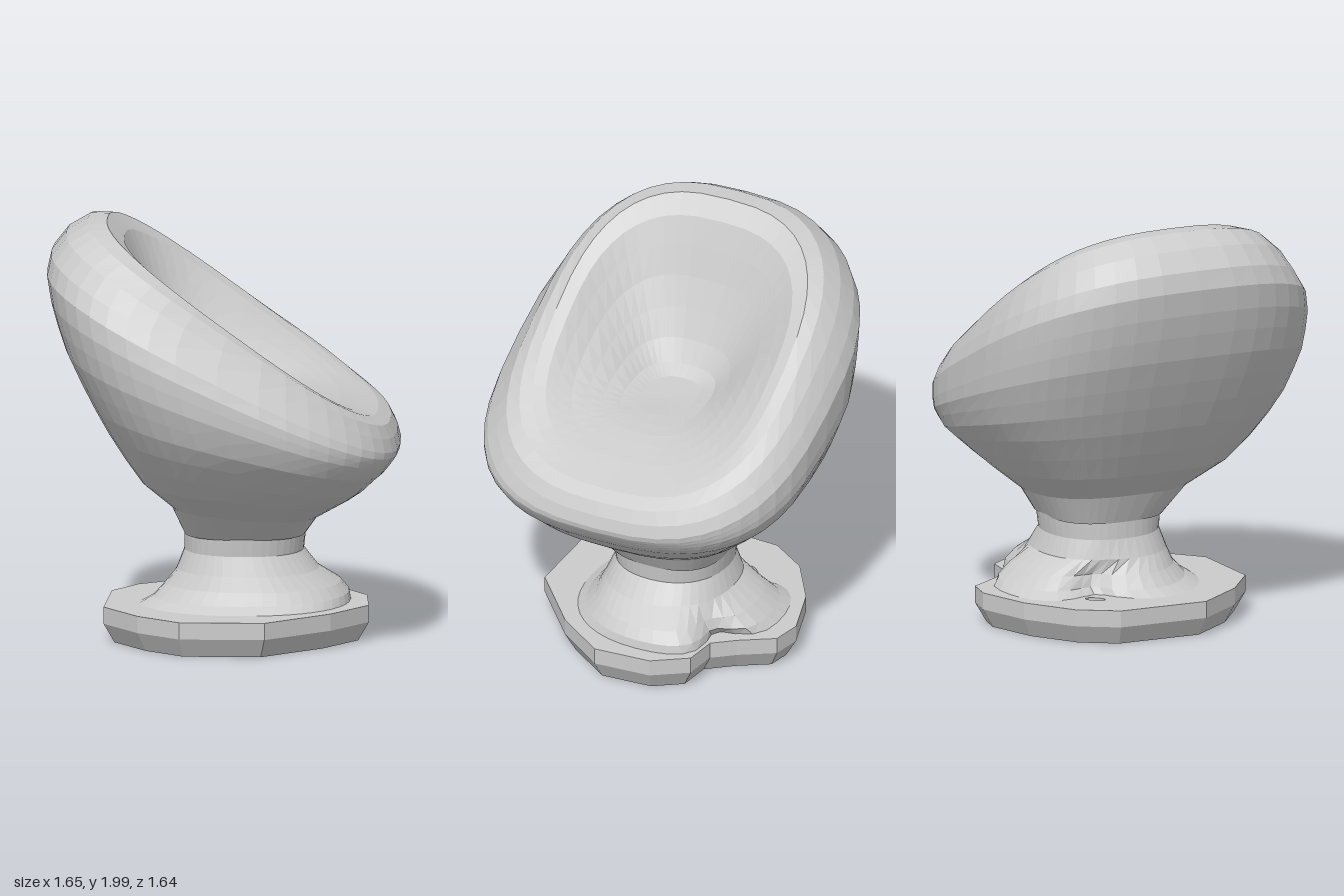
import * as THREE from 'three';

const SEG = 44;
const material = new THREE.MeshStandardMaterial({
  color: 0xcccccc, flatShading: true, side: THREE.DoubleSide,
});

// Lofts tilted, rounded-square rings: [backX, backY, frontX, frontY, halfWidth, centreZ]
function loft(rings, power, endPoint, dent = () => 1) {
  const positions = [], index = [];
  const bend = (v) => Math.sign(v) * Math.abs(v) ** (2 / power);
  rings.forEach(([xb, yb, xf, yf, w, cz = 0], r) => {
    for (let i = 0; i < SEG; i++) {
      const a = (i / SEG) * Math.PI * 2;
      const k = dent(a, r);
      const u = bend(Math.cos(a)) * k, v = bend(Math.sin(a)) * k;
      positions.push(
        (xb + xf) / 2 + u * (xf - xb) / 2,
        (yb + yf) / 2 + u * (yf - yb) / 2,
        cz + v * w,
      );
      if (r === 0) continue;
      const j = (i + 1) % SEG, lo = (r - 1) * SEG, up = r * SEG;
      index.push(lo + i, up + i, lo + j, up + i, up + j, lo + j);
    }
  });
  if (endPoint) {
    const last = (rings.length - 1) * SEG, c = positions.length / 3;
    positions.push(...endPoint);
    for (let i = 0; i < SEG; i++) index.push(last + i, c, last + ((i + 1) % SEG));
  }
  const g = new THREE.BufferGeometry();
  g.setAttribute('position', new THREE.Float32BufferAttribute(positions, 3));
  g.setIndex(index);
  g.computeVertexNormals();
  return g;
}

function addMesh(group, name, geometry) {
  const mesh = new THREE.Mesh(geometry, material);
  mesh.name = name;
  group.add(mesh);
}

export function createModel() {
  const group = new THREE.Group();
  group.name = 'podChair';

  // Pod seat: outer shell up to the rim, then down into the hollow
  addMesh(group, 'podSeat', loft([
    [-0.2, 0.5, 0.37, 0.5, 0.28, -0.07],
    [-0.26, 0.64, 0.43, 0.59, 0.37, -0.04],
    [-0.4, 0.77, 0.59, 0.69, 0.53, -0.01],
    [-0.48, 0.89, 0.66, 0.74, 0.62],
    [-0.56, 1.02, 0.71, 0.79, 0.7],
    [-0.63, 1.15, 0.745, 0.82, 0.76],
    [-0.69, 1.27, 0.77, 0.85, 0.79],
    [-0.75, 1.4, 0.785, 0.87, 0.815],
    [-0.79, 1.52, 0.8, 0.89, 0.82],
    [-0.82, 1.63, 0.81, 0.905, 0.82],
    [-0.84, 1.75, 0.815, 0.93, 0.81, -0.01],
    [-0.82, 1.84, 0.8, 0.99, 0.77, -0.02],
    [-0.75, 1.93, 0.77, 1.05, 0.72, -0.02],
    [-0.65, 1.99, 0.71, 1.09, 0.66, -0.02],
    [-0.56, 1.99, 0.65, 1.11, 0.6, -0.02],
    [-0.48, 1.91, 0.59, 1.13, 0.54, -0.02],
    [-0.43, 1.78, 0.53, 1.15, 0.48, -0.01],
    [-0.38, 1.64, 0.47, 1.165, 0.41],
    [-0.32, 1.5, 0.41, 1.18, 0.34],
    [-0.26, 1.37, 0.34, 1.195, 0.27],
    [-0.2, 1.27, 0.26, 1.205, 0.2],
    [-0.14, 1.23, 0.18, 1.21, 0.13],
  ], 2.7, [0.03, 1.21, 0]));

  // Stem flaring into the foot, drawn in beside the foot's opening and notch
  const dip = (a, at, width) => Math.exp(-(((a - at) / width) ** 2));
  const openingDepth = [0.42, 0.34, 0.27, 0.05, 0, 0];
  const notchDepth = [0.35, 0.27, 0.2, 0, 0, 0];
  addMesh(group, 'stem', loft([
    [-0.46, 0.16, 0.58, 0.16, 0.5, -0.11],
    [-0.37, 0.2, 0.57, 0.21, 0.44, -0.12],
    [-0.31, 0.26, 0.53, 0.26, 0.38, -0.11],
    [-0.24, 0.33, 0.43, 0.33, 0.31, -0.07],
    [-0.2, 0.42, 0.36, 0.42, 0.275, -0.07],
    [-0.2, 0.51, 0.37, 0.51, 0.285, -0.07],
  ], 2.2, null, (a, r) => 1
    - openingDepth[r] * dip(a, 3.54, 0.4) - notchDepth[r] * dip(a, 5.35, 0.3)));

  // Irregular lobed foot plate with one opening and a chamfered underside
  const outline = [
    [-0.2, 0.56], [0.2, 0.56], [0.5, 0.3], [0.67, 0.06], [0.65, -0.22],
    [0.54, -0.38], [0.38, -0.4], [0.3, -0.5], [0.2, -0.66], [0.06, -0.69],
    [-0.2, -0.61], [-0.43, -0.46], [-0.55, -0.28], [-0.57, 0.16], [-0.4, 0.4],
  ];
  const shape = new THREE.Shape(outline.map(([x, z]) => new THREE.Vector2(x, -z)));
  shape.holes.push(new THREE.Path().absellipse(
    -0.29, 0.28, 0.05, 0.025, 0, Math.PI * 2, true, Math.PI / 4));
  const foot = new THREE.ExtrudeGeometry(shape, {
    depth: 0.08, bevelThickness: 0.09, bevelSize: 0.05, bevelOffset: -0.05,
    bevelSegments: 1, curveSegments: 5,
  }).rotateX(-Math.PI / 2).translate(0, 0.09, 0);
  // Level the upper chamfer so that the plate's top is flat
  const p = foot.attributes.position;
  for (let i = 0; i < p.count; i++) p.setY(i, Math.min(p.getY(i), 0.17));
  foot.computeVertexNormals();
  addMesh(group, 'foot', foot);

  return group;
}
